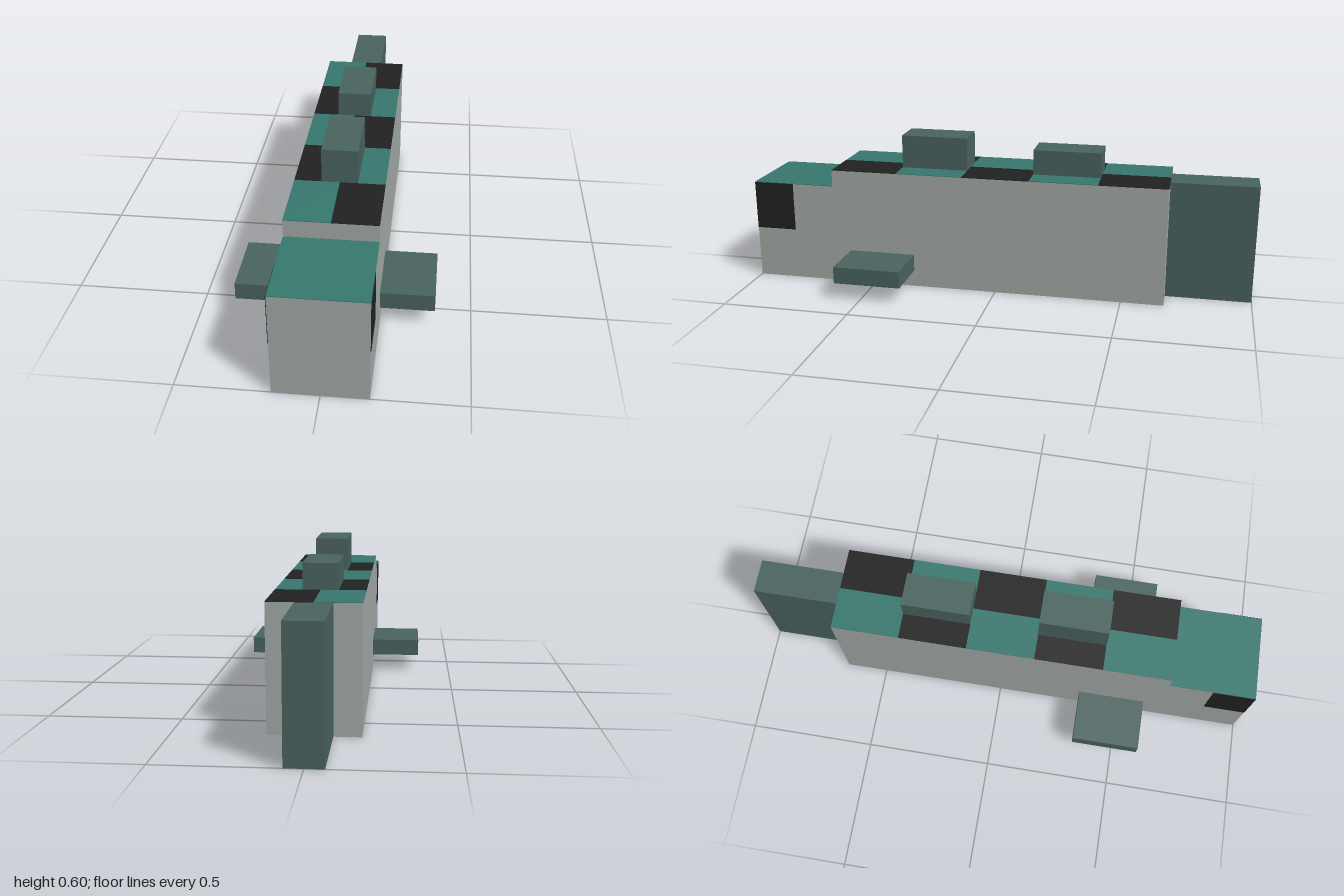
import * as THREE from 'three';

const material = (name, color) => {
  const m = new THREE.MeshStandardMaterial({ color });
  m.name = name;
  return m;
};

export function createModel() {
  const model = new THREE.Group();
  model.name = 'blockFish';

  const grey = material('bodyGrey', 0xa6adaa);
  const teal = material('backTeal', 0x37796f);
  const black = material('patchBlack', 0x222222);
  const finGreen = material('finGreen', 0x4b6561);

  // All sizes are in blocks of 1/15 unit
  const U = 1 / 15;
  const box = (name, mat, [x0, x1], [y0, y1], [z0, z1]) => {
    const mesh = new THREE.Mesh(
      new THREE.BoxGeometry((x1 - x0) * U, (y1 - y0) * U, (z1 - z0) * U), mat);
    mesh.position.set((x0 + x1) / 2 * U, (y0 + y1) / 2 * U, (z0 + z1) / 2 * U);
    mesh.name = name;
    model.add(mesh);
  };
  const T = 0.03; // thickness of the painted plates, in blocks

  // Body and the slightly lower head
  box('body', grey, [-2.5, 2.5], [0, 7], [-10, 10]);
  box('head', grey, [-2.5, 2.5], [0, 6], [10, 15]);

  // Teal crown and chequered back
  box('crown', teal, [-2.5, 2.5], [6, 6 + T], [10, 15]);
  for (let row = 0; row < 5; row++) {
    const z = [-10 + row * 4, -6 + row * 4];
    const even = row % 2 === 0;
    box('backPatchRight', even ? teal : black, [-2.5, 0], [7, 7 + T], z);
    box('backPatchLeft', even ? black : teal, [0, 2.5], [7, 7 + T], z);
  }

  // Fins on the back and the tail
  box('frontDorsalFin', finGreen, [-1, 1], [7, 9], [2, 6]);
  box('rearDorsalFin', finGreen, [-1, 1], [7, 8.5], [-6, -2]);
  box('tailFin', finGreen, [-1, 1], [0, 7], [-15, -10]);

  // Paired side fins and eyes
  for (const [side, s] of [['left', 1], ['right', -1]]) {
    const span = (a, b) => (s > 0 ? [a, b] : [-b, -a]);
    box(side + 'SideFin', finGreen, span(2.5, 5.5), [1, 2], [5, 9]);
    box(side + 'Eye', black, span(2.5, 2.5 + T), [3.1, 6], [12.55, 15]);
  }
  return model;
}
